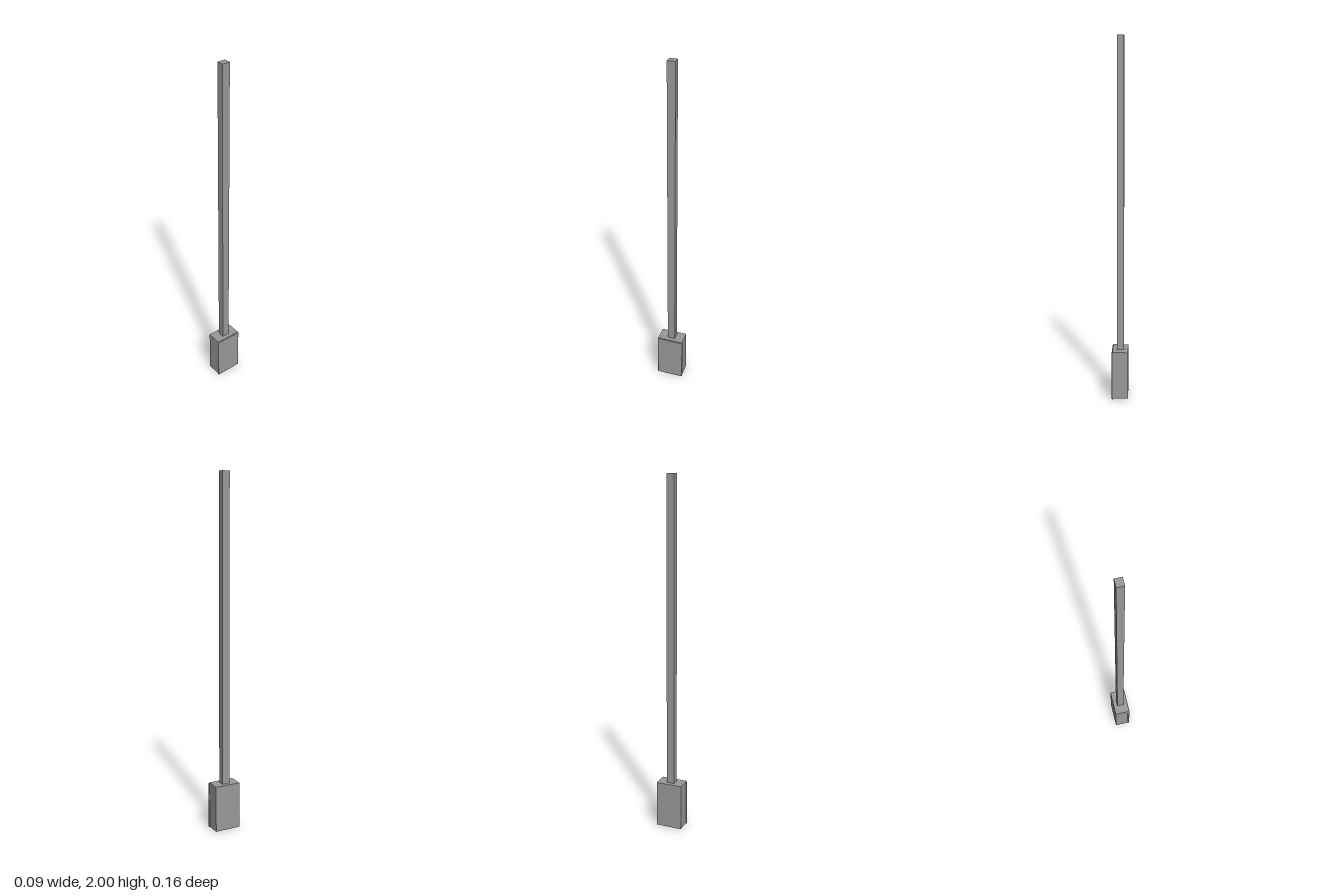
import * as THREE from 'three';
import { RoundedBoxGeometry } from 'three/addons/geometries/RoundedBoxGeometry.js';

export function createModel() {
  const model = new THREE.Group();
  const grey = new THREE.MeshStandardMaterial({ color: 0x999999 });
  grey.name = 'grey metal';

  // Adds a part from its lowest and highest corners
  function add(name, min, max, radius = 0) {
    const size = max.map((v, i) => v - min[i]);
    const geometry = radius
      ? new RoundedBoxGeometry(...size, 3, radius)
      : new THREE.BoxGeometry(...size);
    const mesh = new THREE.Mesh(geometry, grey);
    mesh.name = name;
    mesh.position.set(...min.map((v, i) => (v + max[i]) / 2));
    model.add(mesh);
  }

  // Square conduit rising from the box
  add('conduit', [-0.022, 0.27, -0.022], [0.017, 2, 0.022]);
  // Housing at the foot
  add('housing', [-0.0455, 0.005, -0.075], [0.041, 0.272, 0.075]);
  // Cover with rounded edges on the left side, slightly wider than the housing
  add('cover', [0.034, 0, -0.078], [0.0455, 0.269, 0.078], 0.004);

  return model;
}
